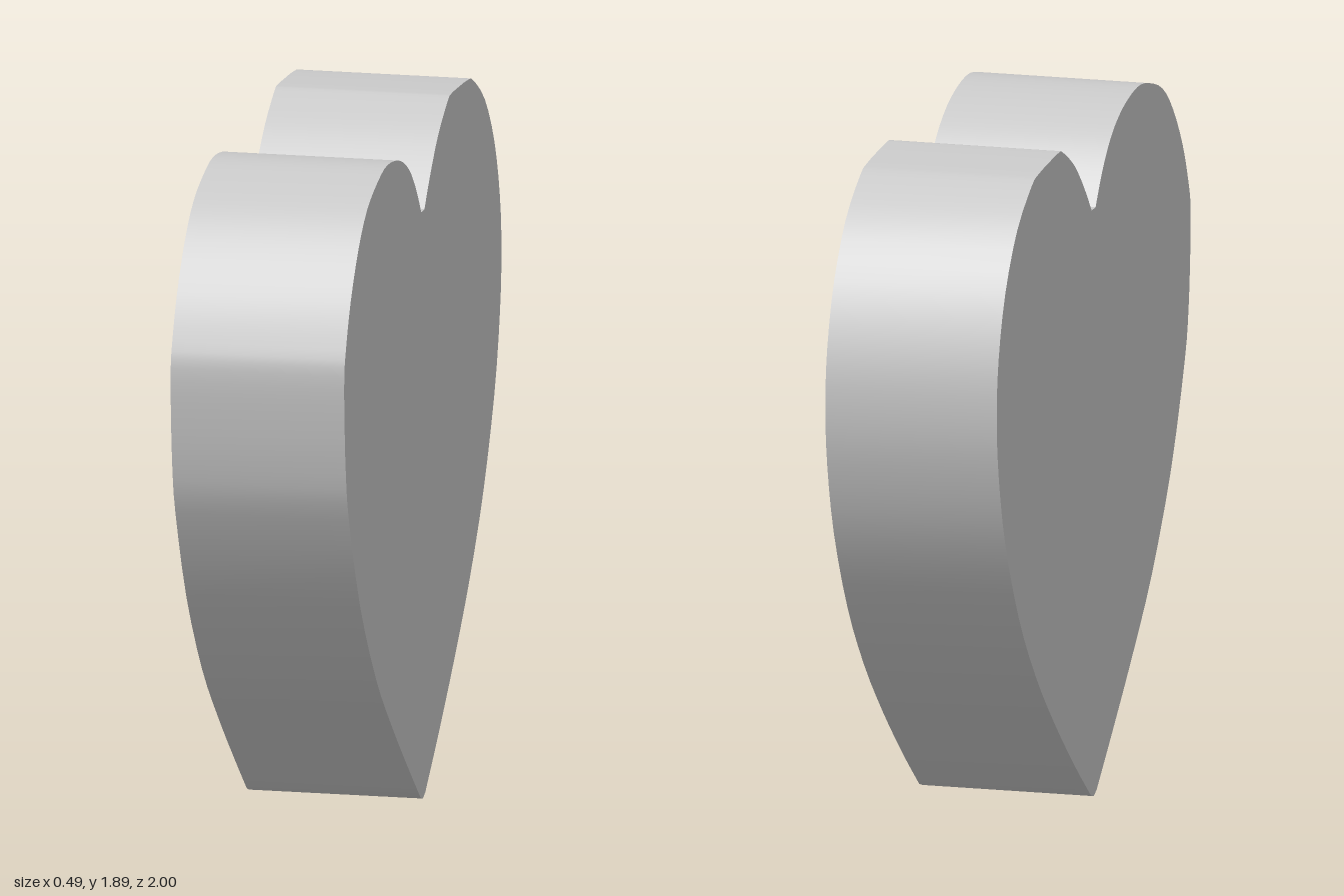
import * as THREE from 'three';
import { toCreasedNormals } from 'three/addons/utils/BufferGeometryUtils.js';

// Lobe outlines as [across, up]: from the bottom tip to the notch, and back down
const backLobe = [
  [0.03, 0.01], [0.2, 0.135], [0.41, 0.305], [0.6, 0.48], [0.77, 0.68], [0.91, 0.92],
  [0.98, 1.13], [1, 1.3], [0.98, 1.46], [0.91, 1.63], [0.79, 1.775], [0.64, 1.865],
  [0.57, 1.882], [0.45, 1.89], [0.36, 1.893], [0.32, 1.885], [0.2, 1.82], [0.1, 1.735], [0.02, 1.65],
];
const frontLobe = [
  [-0.02, 1.65], [-0.09, 1.735], [-0.18, 1.81], [-0.3, 1.862], [-0.45, 1.885], [-0.57, 1.868],
  [-0.71, 1.82], [-0.82, 1.735], [-0.92, 1.61], [-0.98, 1.49], [-1, 1.42], [-0.998, 1.3],
  [-0.98, 1.14], [-0.94, 1], [-0.8, 0.73], [-0.6, 0.48], [-0.4, 0.3], [-0.2, 0.14], [-0.03, 0.01],
];

const smooth = (points) =>
  new THREE.SplineCurve(points.map(([u, y]) => new THREE.Vector2(u, y))).getPoints(54);

export function createModel() {
  const group = new THREE.Group();
  group.name = 'heart';

  // Closed outline with a small flat notch and a blunt tip
  const outline = new THREE.Shape([
    new THREE.Vector2(0, 0), ...smooth(backLobe), ...smooth(frontLobe),
  ]);

  // Thick slab: extruded along x, rim smooth, rim edges sharp
  const thickness = 0.485;
  const slab = new THREE.ExtrudeGeometry(outline, { depth: thickness, bevelEnabled: false });
  slab.translate(0, 0, -thickness / 2);
  slab.rotateY(Math.PI / 2);

  const body = new THREE.Mesh(
    toCreasedNormals(slab, 0.5),
    new THREE.MeshStandardMaterial({ color: 0xcccccc }),
  );
  body.name = 'heartBody';
  group.add(body);
  return group;
}
